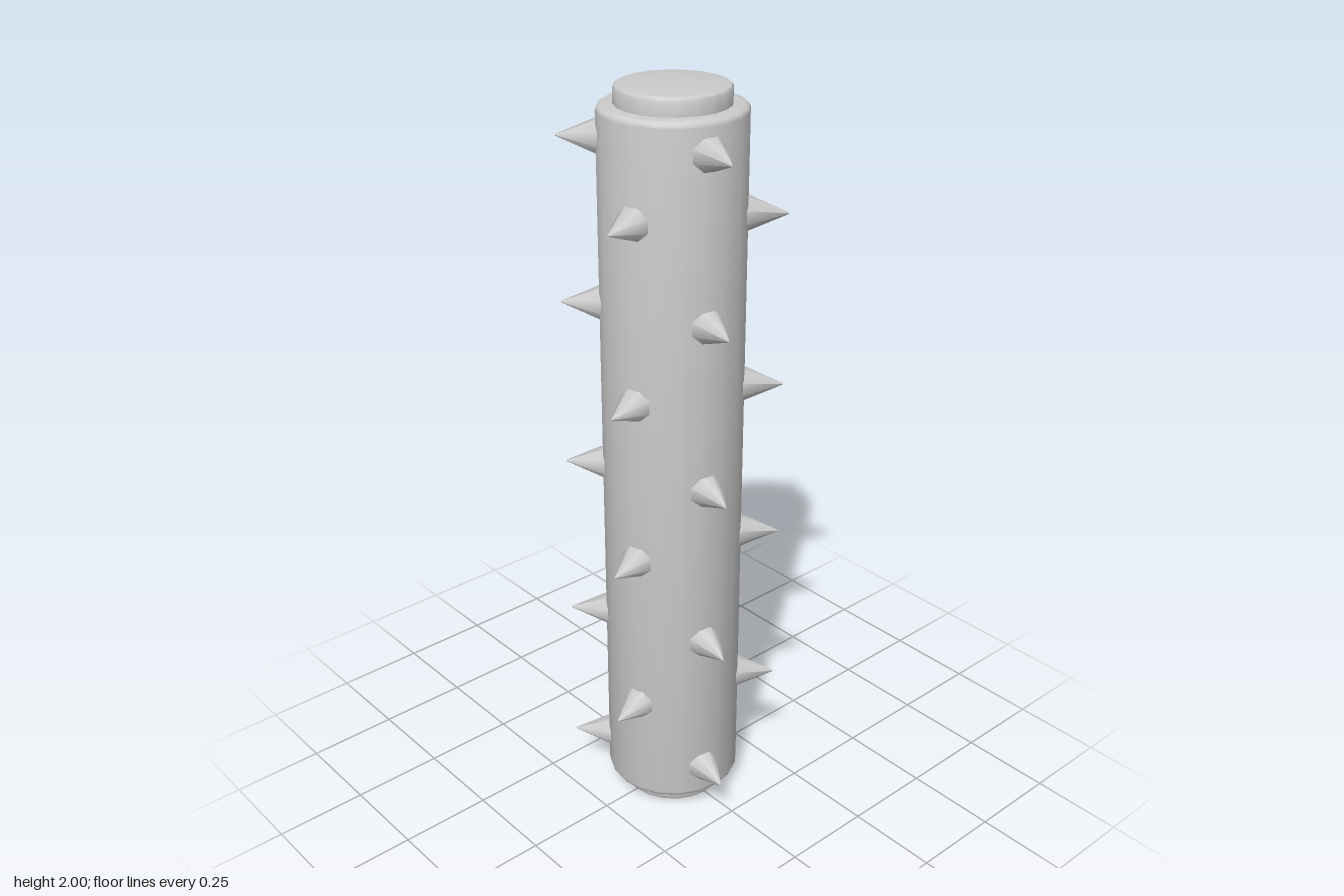
import * as THREE from 'three';
import { toCreasedNormals } from 'three/addons/utils/BufferGeometryUtils.js';

const SIDES = 20;
const material = new THREE.MeshStandardMaterial({ color: 0xcccccc });

// Closed cylinder with rounded rims, from y0 to y1
function roundedCylinder(name, radius, y0, y1, bevel) {
  const steps = 4;
  const points = [new THREE.Vector2(0, y0)];
  for (let i = 0; i <= steps; i++) {
    const a = (i / steps) * Math.PI / 2;
    points.push(new THREE.Vector2(radius - bevel + bevel * Math.sin(a), y0 + bevel - bevel * Math.cos(a)));
  }
  for (let i = 0; i <= steps; i++) {
    const a = (i / steps) * Math.PI / 2;
    points.push(new THREE.Vector2(radius - bevel + bevel * Math.cos(a), y1 - bevel + bevel * Math.sin(a)));
  }
  points.push(new THREE.Vector2(0, y1));
  const mesh = new THREE.Mesh(toCreasedNormals(new THREE.LatheGeometry(points, SIDES), 0.6), material);
  mesh.name = name;
  return mesh;
}

export function createModel() {
  const model = new THREE.Group();
  model.name = 'spikedRoller';

  // Main shaft and the smaller end caps
  model.add(roundedCylinder('shaft', 0.183, 0.045, 1.955, 0.016));
  model.add(roundedCylinder('topCap', 0.142, 1.93, 2, 0.01));
  model.add(roundedCylinder('bottomCap', 0.142, 0, 0.07, 0.01));

  // Eight-sided spike pointing along +x, rooted inside the shaft
  const base = 0.16, tip = 0.279;
  const spikeGeometry = new THREE.CylinderGeometry(0.002, 0.052, tip - base, 8, 1, false, Math.PI / 8);
  spikeGeometry.rotateZ(-Math.PI / 2);
  spikeGeometry.translate((base + tip) / 2, 0, 0);

  // Six columns around the shaft, alternating five and four spikes
  const five = [0.14, 0.555, 1.01, 1.455, 1.875];
  const columns = [
    five, [0.355, 0.81, 1.24, 1.69],
    five, [0.35, 0.8, 1.247, 1.71],
    five, [0.35, 0.79, 1.24, 1.706],
  ];
  columns.forEach((heights, k) => {
    const column = new THREE.Group();
    column.name = `spikeColumn${k + 1}`;
    column.rotation.y = -THREE.MathUtils.degToRad(-16.6 + 60 * k);
    for (const y of heights) {
      const spike = new THREE.Mesh(spikeGeometry, material);
      spike.name = 'spike';
      spike.position.y = y;
      column.add(spike);
    }
    model.add(column);
  });

  return model;
}
